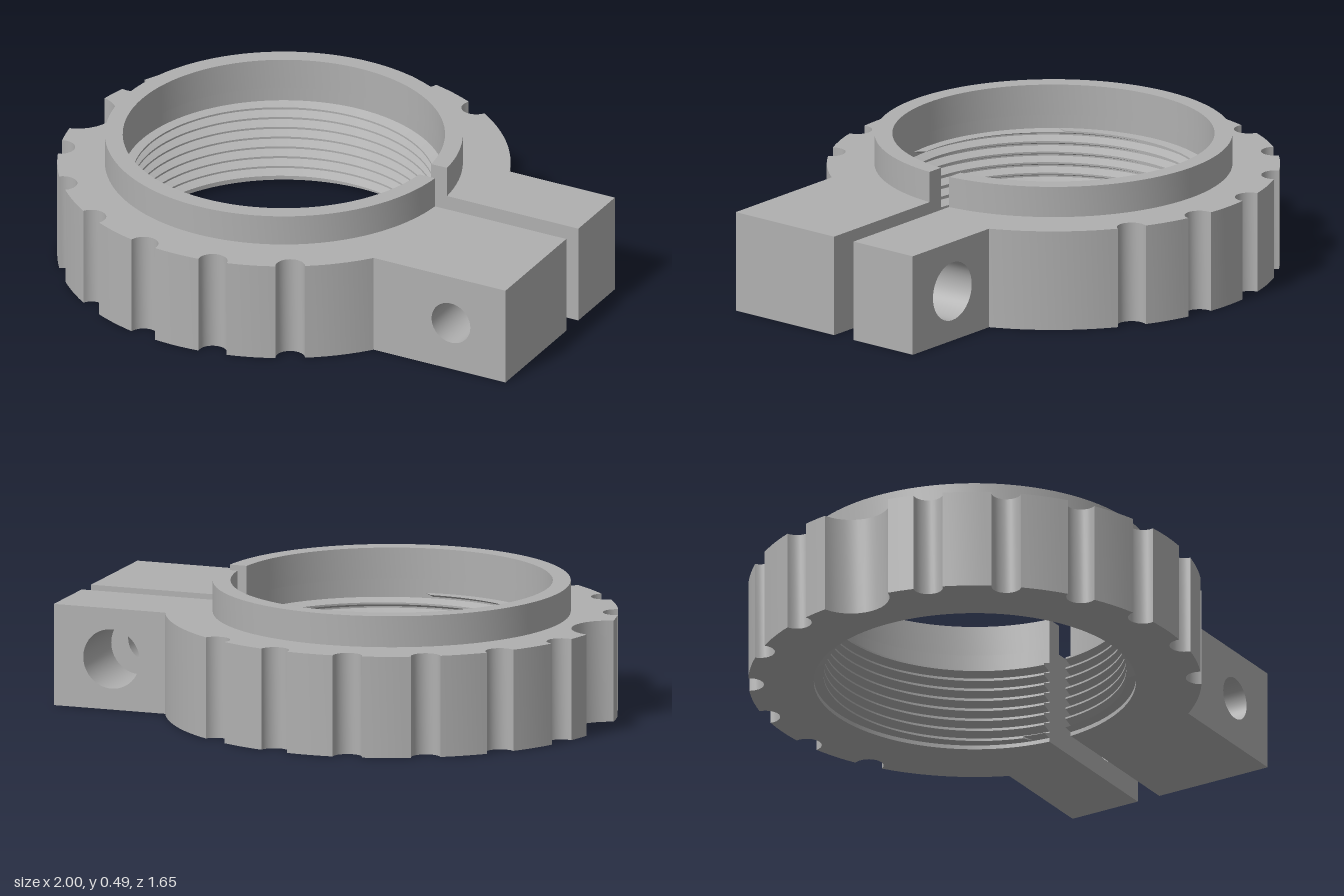
import * as THREE from 'three';
import { toCreasedNormals } from 'three/addons/utils/BufferGeometryUtils.js';

const CX = -0.19;      // ring axis
const GAP = 0.046;     // half width of the clamping slot
const OUTER = 0.823, BORE = 0.585, CREST = 0.55, COLLAR = 0.65;
const BODY_H = 0.375, TOTAL_H = 0.49;

const slotAngle = (r) => Math.asin(GAP / r);

function arc(cx, cy, r, a, b, n) {
  return Array.from({ length: n + 1 }, (_, i) => {
    const t = a + ((b - a) * i) / n;
    return new THREE.Vector2(cx + r * Math.cos(t), cy + r * Math.sin(t));
  });
}

// Slotted ring outline, with scallops cut into its rim
function ringOutline(radius, notches) {
  const pts = [];
  let from = slotAngle(radius);
  const end = 2 * Math.PI - from;
  for (const { angle, dist, r } of notches) {
    const d = Math.acos((radius ** 2 + dist ** 2 - r ** 2) / (2 * radius * dist));
    const phi = Math.atan2(-radius * Math.sin(d), radius * Math.cos(d) - dist);
    pts.push(...arc(CX, 0, radius, from, angle - d, Math.max(4, Math.ceil((angle - d - from) * 20))));
    const cut = arc(CX + dist * Math.cos(angle), dist * Math.sin(angle), r,
      angle + phi, angle - phi - 2 * Math.PI, 14);
    pts.push(...cut.slice(1, -1));
    from = angle + d;
  }
  pts.push(...arc(CX, 0, radius, from, end, Math.ceil((end - from) * 20)));
  const a = slotAngle(BORE);
  pts.push(...arc(CX, 0, BORE, 2 * Math.PI - a, a, 120));
  return new THREE.Shape(pts);
}

function ringGeometry(radius, notches, y, height) {
  const geo = new THREE.ExtrudeGeometry(ringOutline(radius, notches), { depth: height, bevelEnabled: false });
  geo.rotateX(-Math.PI / 2).translate(0, y, 0);
  return toCreasedNormals(geo, 0.5);
}

// Clamping lug with a cross hole for the bolt
function lugGeometry(z0, z1, holeRadius) {
  const shape = new THREE.Shape([[0.42, 0], [1, 0], [1, BODY_H], [0.42, BODY_H]]
    .map(([x, y]) => new THREE.Vector2(x, y)));
  shape.holes.push(new THREE.Path(arc(0.775, BODY_H / 2, holeRadius, 0, -2 * Math.PI, 40).slice(0, -1)));
  const geo = new THREE.ExtrudeGeometry(shape, { depth: z1 - z0, bevelEnabled: false });
  return toCreasedNormals(geo.translate(0, 0, z0), 0.5);
}

// Helical ridges on the bore wall
function threadGeometry() {
  const pitch = 0.04, low = 0.015, high = 0.325, steps = 120;
  const profile = [[0, BORE + 0.001], [0.014, CREST], [0.021, CREST], [0.035, BORE + 0.001]];
  const pos = [];
  const tri = (a, b, c) => {
    const area = b.clone().sub(a).cross(c.clone().sub(a)).length();
    if (area > 1e-9) for (const p of [a, b, c]) pos.push(p.x, p.y, p.z);
  };
  const section = (turn, u) => profile.map(([dy, r]) => {
    const raw = (turn + u) * pitch + dy;
    const y = THREE.MathUtils.clamp(raw, low, high);
    const rad = y === raw ? r : BORE + 0.001;
    const a = slotAngle(rad);
    const t = a + (2 * Math.PI - 2 * a) * u;
    return new THREE.Vector3(CX + rad * Math.cos(t), y, -rad * Math.sin(t));
  });
  for (let turn = -1; turn <= 8; turn++) {
    for (let i = 0; i < steps; i++) {
      const p = section(turn, i / steps), q = section(turn, (i + 1) / steps);
      for (let k = 0; k < 3; k++) {
        tri(p[k], q[k + 1], q[k]);
        tri(p[k], p[k + 1], q[k + 1]);
      }
    }
    // Close the ridge at both sides of the slot
    const s = section(turn, 0), e = section(turn, 1);
    tri(s[0], s[2], s[1]);
    tri(s[0], s[3], s[2]);
    tri(e[0], e[1], e[2]);
    tri(e[0], e[2], e[3]);
  }
  const geo = new THREE.BufferGeometry();
  geo.setAttribute('position', new THREE.Float32BufferAttribute(pos, 3));
  return toCreasedNormals(geo, 0.4);
}

export function createModel() {
  const group = new THREE.Group();
  group.name = 'clampRing';
  const grey = new THREE.MeshStandardMaterial({ color: 0xb0b0b0 });
  grey.name = 'grey';
  const add = (name, geo) => {
    const mesh = new THREE.Mesh(geo, grey);
    mesh.name = name;
    group.add(mesh);
  };

  // Grip scallops every 20 degrees, with one large notch opposite the slot
  const notches = [];
  for (let deg = 60; deg <= 300; deg += 20) {
    const angle = THREE.MathUtils.degToRad(deg);
    notches.push(deg === 180 ? { angle, dist: 0.85, r: 0.14 } : { angle, dist: 0.82, r: 0.054 });
  }

  add('gripRing', ringGeometry(OUTER, notches, 0, BODY_H));
  add('collar', ringGeometry(COLLAR, [], BODY_H, TOTAL_H - BODY_H));
  add('frontLug', lugGeometry(GAP, 0.51, 0.08));
  add('backLug', lugGeometry(-0.325, -GAP, 0.11));
  add('innerThread', threadGeometry());
  return group;
}
